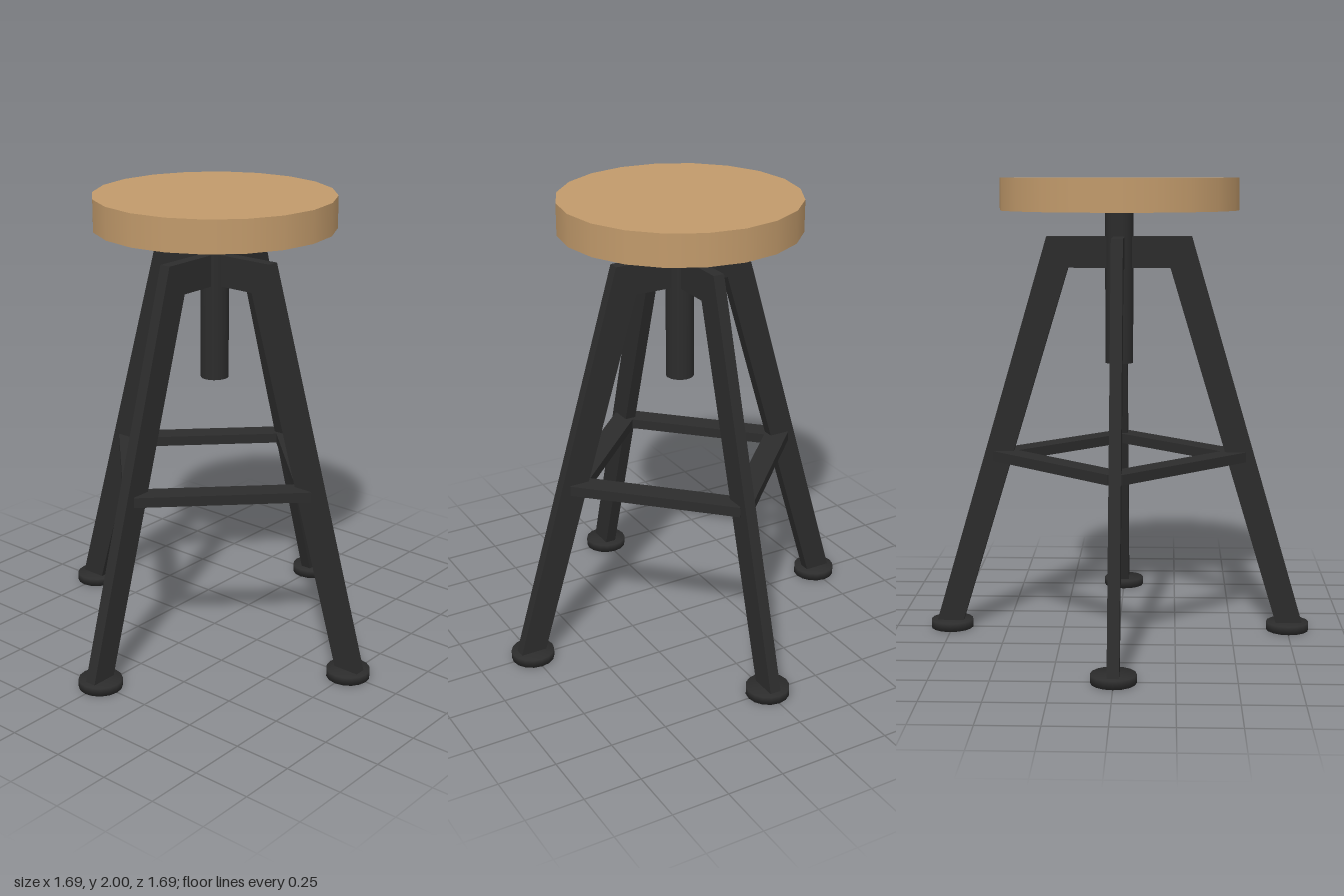
import * as THREE from 'three';
import { mergeVertices } from 'three/addons/utils/BufferGeometryUtils.js';

export function createModel() {
  const model = new THREE.Group();
  model.name = 'stool';
  const wood = new THREE.MeshStandardMaterial({ name: 'wood', color: 0xc19a6b });
  const metal = new THREE.MeshStandardMaterial({ name: 'dark metal', color: 0x2c2c2c });

  const add = (name, geometry, material, x = 0, y = 0, z = 0, turn = 0) => {
    const mesh = new THREE.Mesh(geometry, material);
    mesh.name = name;
    mesh.position.set(x, y, z);
    mesh.rotation.y = turn;
    model.add(mesh);
  };

  // Round seat and the screw post under it
  add('seat', new THREE.CylinderGeometry(0.517, 0.517, 0.138, 20), wood, 0, 1.931);
  add('post', new THREE.CylinderGeometry(0.061, 0.061, 0.664, 20), metal, 0, 1.532);

  // Two crossed frames, each a pair of splayed legs joined by a top bar
  const half = [[0.315, 1.75], [0.82, 0.02], [0.703, 0.02], [0.222, 1.615]];
  const outline = [...half, ...half.map(([x, y]) => [-x, y]).reverse()];
  const frame = new THREE.ExtrudeGeometry(
    new THREE.Shape(outline.map(([x, y]) => new THREE.Vector2(x, y))),
    { depth: 0.05, bevelEnabled: false }
  ).translate(0, 0, -0.025);
  add('legFrameSide', frame, metal);
  add('legFrameFront', frame, metal, 0, 0, 0, Math.PI / 2);

  // Foot pads with softly shaded rims
  let pad = new THREE.CylinderGeometry(0.094, 0.094, 0.036, 16);
  pad.deleteAttribute('normal');
  pad.deleteAttribute('uv');
  pad = mergeVertices(pad);
  pad.computeVertexNormals();

  // One foot and one diagonal rung per quarter turn
  const rung = new THREE.BoxGeometry(0.745, 0.044, 0.1);
  for (let i = 0; i < 4; i++) {
    const a = (i * Math.PI) / 2;
    const d = a + Math.PI / 4;
    add('foot' + (i + 1), pad, metal, 0.752 * Math.sin(a), 0.018, 0.752 * Math.cos(a), a);
    add('rung' + (i + 1), rung, metal, 0.365 * Math.sin(d), 0.786, 0.365 * Math.cos(d), d);
  }
  return model;
}
